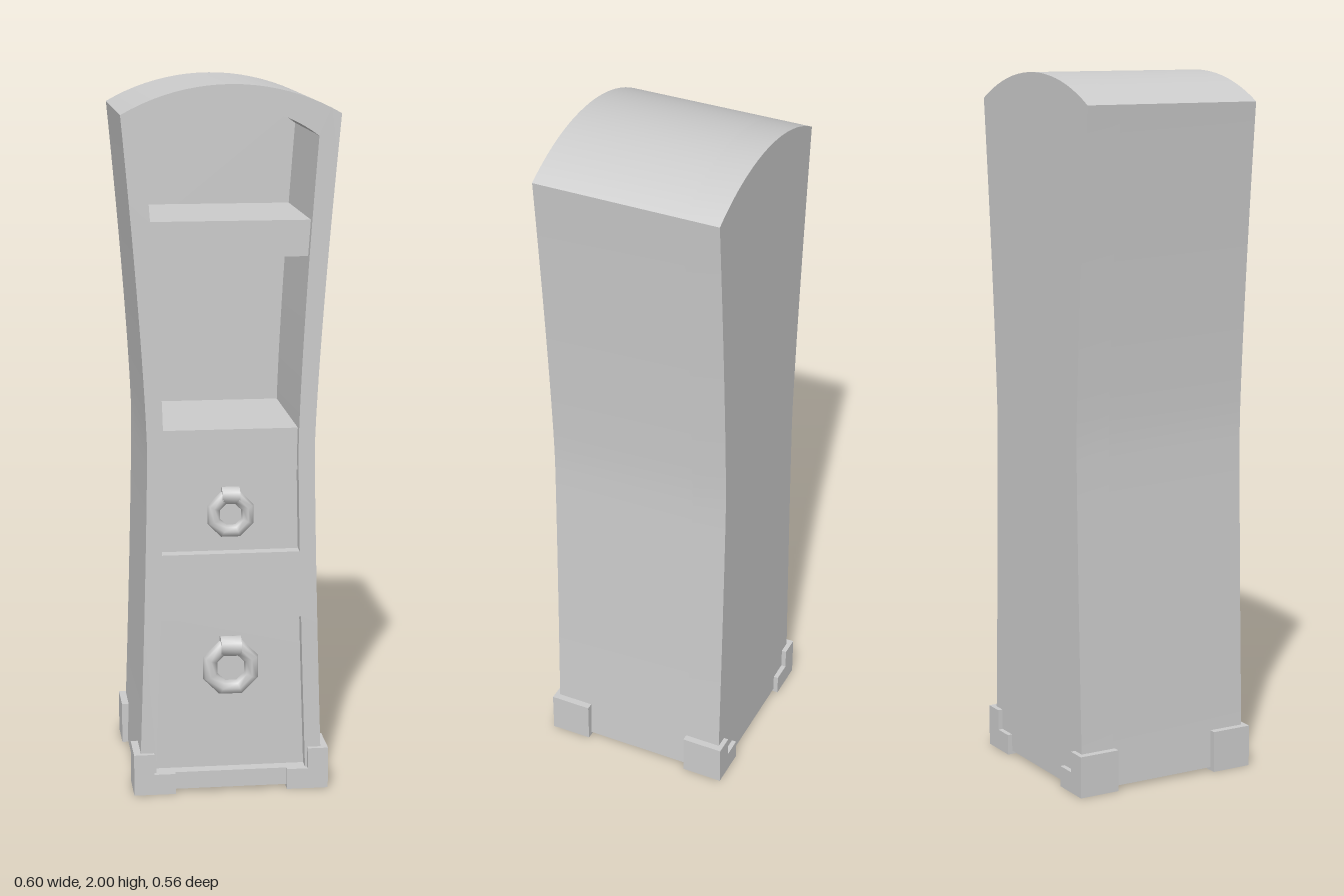
import * as THREE from 'three';
import { toCreasedNormals } from 'three/addons/utils/BufferGeometryUtils.js';

const BACK = -0.267, FRONT = 0.267, NICHE_BACK = -0.165;
const material = new THREE.MeshStandardMaterial({ color: 0xcccccc });

// Half-width of the waisted cabinet, and of its openings, at height y
const outer = (y) => y < 1
  ? 0.234 + 0.028 * (1 - y) ** 1.3
  : 0.234 + 0.066 * ((y - 1) / 0.92) ** 1.3;
const inner = (y) => outer(y) - 0.046 - 0.012 * Math.max(0, y - 1.05);

// Mirrored outline between two heights, optionally closed by an arched top
function outline(width, y0, y1, rise = 0, steps = 20) {
  const right = [], top = [];
  for (let i = 0; i <= steps; i++) {
    const y = y0 + (y1 - y0) * i / steps;
    right.push(new THREE.Vector2(width(y), y));
  }
  const w = width(y1);
  if (rise) {
    const r = (w * w + rise * rise) / (2 * rise), a = Math.asin(w / r);
    for (let i = 1; i < 20; i++) {
      const t = a * (1 - i / 10);
      top.push(new THREE.Vector2(r * Math.sin(t), y1 + rise - r + r * Math.cos(t)));
    }
  }
  const left = right.map((p) => new THREE.Vector2(-p.x, p.y)).reverse();
  return [...right, ...top, ...left];
}

function extrude(name, points, z0, z1, holes = []) {
  const shape = new THREE.Shape(points);
  shape.holes = holes.map((h) => new THREE.Path(h));
  const geo = new THREE.ExtrudeGeometry(shape, { depth: z1 - z0, bevelEnabled: false });
  geo.translate(0, 0, z0);
  const mesh = new THREE.Mesh(toCreasedNormals(geo, 0.35), material);
  mesh.name = name;
  return mesh;
}

// Ring pull hanging from a rounded strap
function ringPull(name, y, z, radius, tube, strapY, strapR) {
  const group = new THREE.Group();
  group.name = name;
  const ring = new THREE.Mesh(new THREE.TorusGeometry(radius, tube, 8, 8), material);
  ring.name = 'ring';
  ring.rotation.z = Math.PI / 8;
  ring.position.set(0, y, z);
  const strap = new THREE.Mesh(
    toCreasedNormals(new THREE.CylinderGeometry(strapR, strapR, strapR * 2, 12), 0.6), material);
  strap.name = 'strap';
  strap.rotation.z = Math.PI / 2;
  strap.position.set(0, strapY, z - 0.004);
  group.add(ring, strap);
  return group;
}

export function createModel() {
  const model = new THREE.Group();
  model.name = 'cabinet';

  // Carcass: arched case with a tall niche and a drawer opening, closed at the back
  const body = outline(outer, 0.01, 1.92, 0.08, 32);
  const niche = outline(inner, 0.70, 1.86, 0.08);
  const drawerHole = outline(inner, 0.06, 0.51);
  model.add(extrude('case', body, NICHE_BACK, FRONT, [niche, drawerHole]));
  model.add(extrude('backPanel', body, BACK, NICHE_BACK));

  // Shelves and drawers set back inside the openings
  model.add(extrude('upperShelf', outline(inner, 1.53, 1.63, 0, 4), NICHE_BACK, 0.242));
  model.add(extrude('lowerShelf', outline(inner, 0.93, 1.05, 0, 4), NICHE_BACK, 0.242));
  model.add(extrude('upperDrawer', outline(inner, 0.70, 0.93, 0, 6), NICHE_BACK, 0.23));
  model.add(extrude('lowerDrawer', drawerHole, NICHE_BACK, 0.23));

  model.add(ringPull('upperHandle', 0.81, 0.252, 0.051, 0.019, 0.863, 0.025));
  model.add(ringPull('lowerHandle', 0.365, 0.258, 0.063, 0.022, 0.426, 0.029));

  // Stepped corner feet
  const step = [[0.16, 0], [0.278, 0], [0.278, 0.12], [0.22, 0.12], [0.22, 0.06], [0.16, 0.06]];
  for (const sx of [-1, 1]) {
    for (const sz of [-1, 1]) {
      const points = step.map(([x, y]) => new THREE.Vector2(sx * x, y));
      const [z0, z1] = sz > 0 ? [0.16, 0.281] : [-0.281, -0.16];
      model.add(extrude(`${sz > 0 ? 'front' : 'back'}${sx > 0 ? 'Left' : 'Right'}Foot`, points, z0, z1));
    }
  }
  return model;
}
